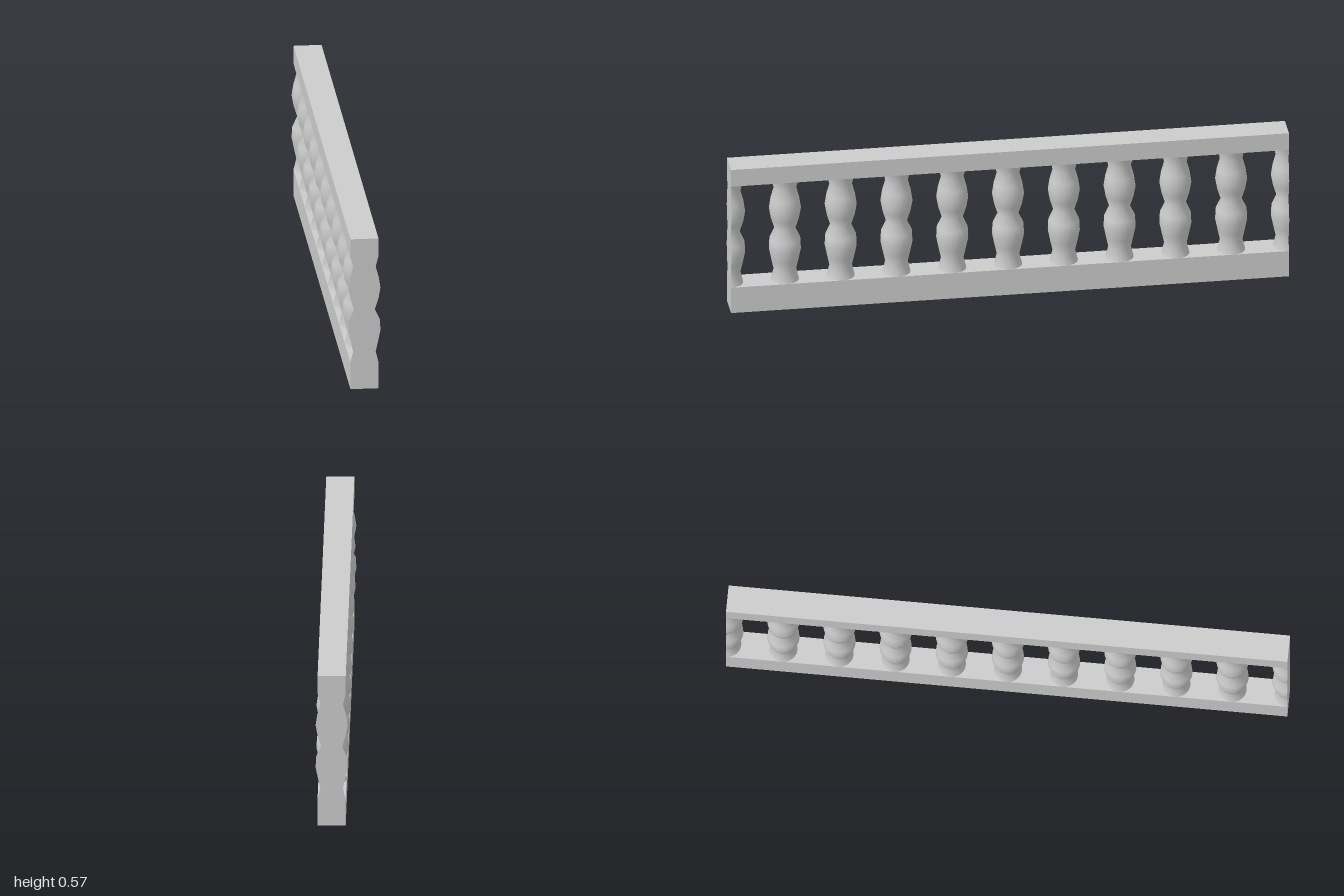
import * as THREE from 'three';

export function createModel() {
  const model = new THREE.Group();
  model.name = 'balustrade';
  const material = new THREE.MeshStandardMaterial({ color: 0xcccccc });

  const add = (parent, name, geometry, y = 0, z = 0) => {
    const mesh = new THREE.Mesh(geometry, material);
    mesh.name = name;
    mesh.position.set(0, y, z);
    parent.add(mesh);
    return mesh;
  };

  // Bottom and top rails
  add(model, 'bottomRail', new THREE.BoxGeometry(0.1, 0.1, 2), 0.05);
  add(model, 'topRail', new THREE.BoxGeometry(0.1, 0.066, 2), 0.533);

  // Turned profile, from bottom rail to top rail, in even steps of height
  const radii = [0.05, 0.04, 0.049, 0.057, 0.055, 0.037, 0.05, 0.057, 0.051, 0.04, 0.05];
  const profile = radii.map((r, i) => new THREE.Vector2(r, 0.1 + i * 0.04));

  // Nine full balusters
  const full = new THREE.LatheGeometry(profile, 32);
  for (let i = -4; i <= 4; i++) add(model, 'baluster', full, 0, i * 0.2);

  // Half balusters at both ends, closed by a flat cut face
  const half = new THREE.LatheGeometry(profile, 16, Math.PI / 2, Math.PI);
  const mirrored = profile.map(p => new THREE.Vector2(-p.x, p.y)).reverse();
  const cut = new THREE.ShapeGeometry(new THREE.Shape([...profile, ...mirrored]));
  for (const side of [1, -1]) {
    const end = new THREE.Group();
    end.name = side > 0 ? 'frontHalfBaluster' : 'backHalfBaluster';
    add(end, 'turnedHalf', half);
    add(end, 'cutFace', cut);
    end.position.z = side;
    end.rotation.y = side > 0 ? 0 : Math.PI;
    model.add(end);
  }
  return model;
}
